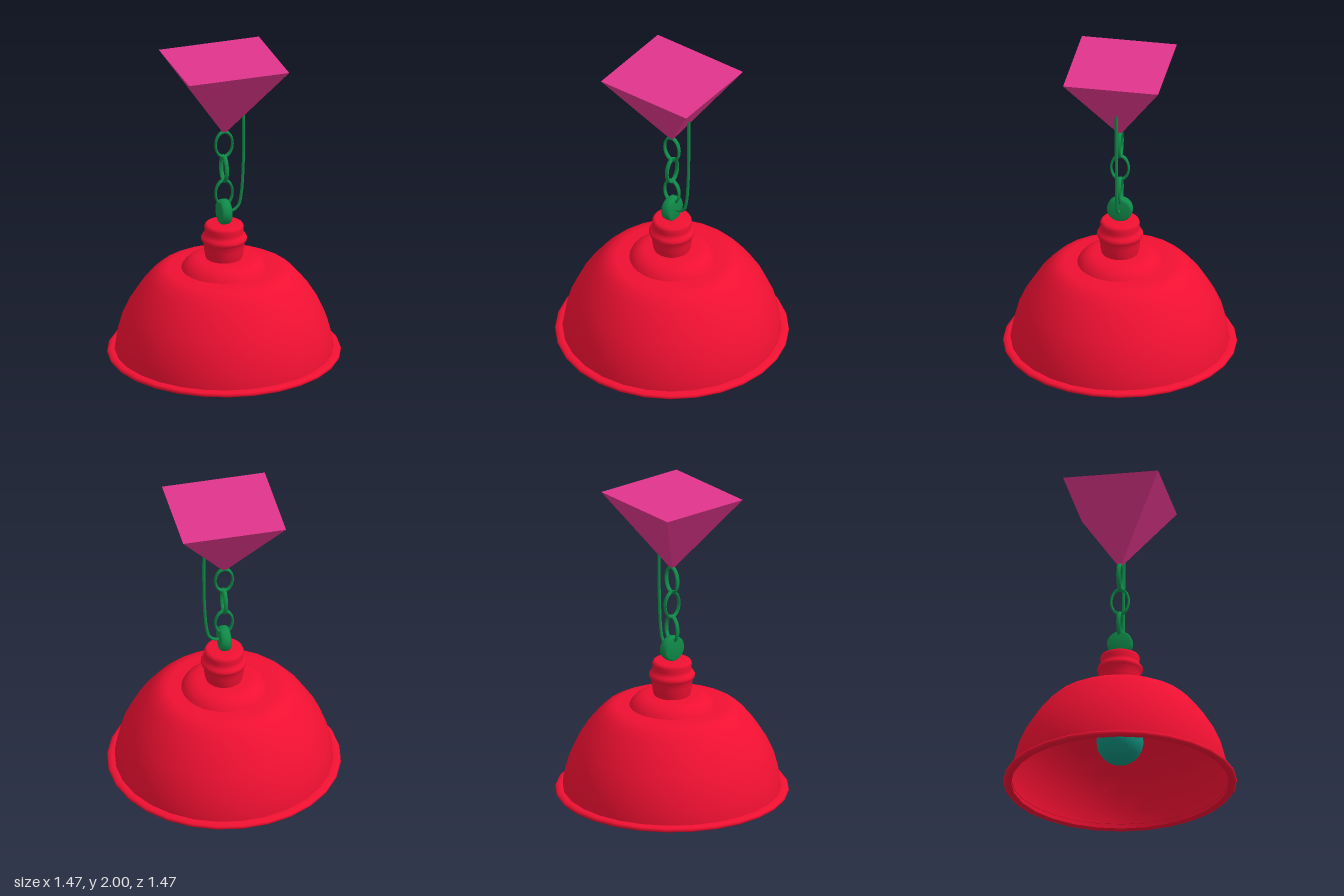
import * as THREE from 'three';

const red = new THREE.MeshStandardMaterial({ color: 0xf01032, side: THREE.DoubleSide });
const green = new THREE.MeshStandardMaterial({ color: 0x0f8a48 });
const teal = new THREE.MeshStandardMaterial({ color: 0x0f8f7c });
const pink = new THREE.MeshStandardMaterial({ color: 0xe0358c, flatShading: true });

export function createModel() {
  const group = new THREE.Group();

  const add = (name, geometry, material) => {
    const mesh = new THREE.Mesh(geometry, material);
    mesh.name = name;
    group.add(mesh);
    return mesh;
  };

  // Turned parts: profiles of [radius, height], listed from bottom to top
  const turned = (name, profile, material) => {
    const points = profile.map(([r, y]) => new THREE.Vector2(r, y));
    return add(name, new THREE.LatheGeometry(points, 28, -0.056), material);
  };

  // Lamp shade
  turned('shadeRim', [[0.685, 0.01], [0.71, 0.005], [0.73, 0.01], [0.737, 0.022],
    [0.73, 0.034], [0.71, 0.04], [0.685, 0.04]], red);
  turned('shadeDome', [[0.69, 0.01], [0.688, 0.06], [0.677, 0.13], [0.65, 0.23], [0.605, 0.33],
    [0.54, 0.435], [0.475, 0.515], [0.43, 0.558], [0.39, 0.58], [0.35, 0.588], [0.25, 0.59]], red);
  turned('shadeCollar', [[0.27, 0.588], [0.258, 0.61], [0.235, 0.635], [0.205, 0.652],
    [0.17, 0.66], [0.1, 0.662]], red);
  turned('socket', [[0.115, 0.66], [0.122, 0.69], [0.127, 0.73], [0.13, 0.765], [0.143, 0.78],
    [0.146, 0.795], [0.138, 0.81], [0.124, 0.82], [0.122, 0.84], [0.125, 0.87],
    [0.119, 0.885], [0.105, 0.892], [0, 0.892]], red);

  // Light bulb with its neck running up into the socket
  add('bulb', new THREE.SphereGeometry(0.148, 28, 18), teal).position.y = 0.29;
  turned('bulbNeck', [[0.1, 0.39], [0.075, 0.45], [0.065, 0.52], [0.065, 0.7]], teal);

  // Round lug on top of the socket, axis along x
  const lug = turned('lug', [[0, -0.035], [0.068, -0.035], [0.08, -0.022], [0.082, 0],
    [0.08, 0.022], [0.068, 0.035], [0, 0.035]], green);
  lug.rotation.z = Math.PI / 2;
  lug.position.y = 0.97;

  // Chain of oval links, each turned a quarter from the last
  [1.1, 1.265, 1.432].forEach((y, i) => {
    const link = new THREE.TorusGeometry(0.056, 0.0075, 10, 36);
    link.scale(1, 1.5, 1.9);
    const mesh = add('chainLink', link, green);
    mesh.position.y = y;
    mesh.rotation.y = i % 2 ? Math.PI / 2 : 0;
  });

  // Power cable
  const path = new THREE.CatmullRomCurve3([[0.02, 0.967], [0.06, 0.972], [0.095, 1.0], [0.113, 1.07],
    [0.124, 1.2], [0.13, 1.4], [0.13, 1.72]].map(([x, y]) => new THREE.Vector3(x, y, 0)));
  add('cable', new THREE.TubeGeometry(path, 40, 0.01, 8), green);

  // Inverted pyramid ceiling mount
  const mount = new THREE.ConeGeometry(Math.SQRT2, 0.5, 4);
  mount.rotateY(Math.PI / 4);
  mount.rotateX(Math.PI);
  mount.scale(0.332, 1, 0.304);
  add('ceilingMount', mount, pink).position.y = 1.75;

  return group;
}
